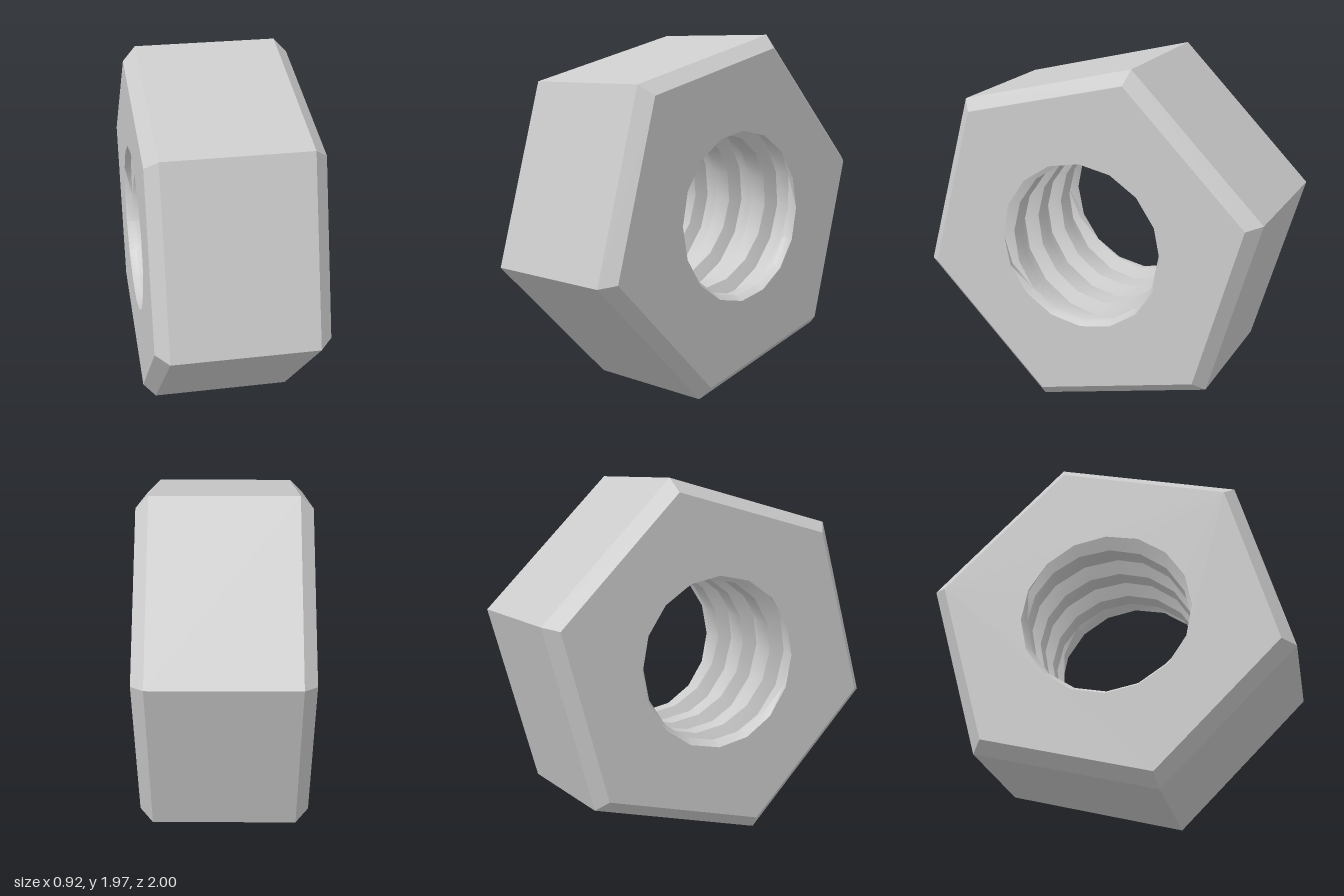
import * as THREE from 'three';
import { toCreasedNormals } from 'three/addons/utils/BufferGeometryUtils.js';

const HALF = 0.46, CHAMFER_X = 0.39, INSET = 0.925, CENTRE_Y = 0.988;
const SEGMENTS = 16, RIM = 0.47, THREAD_X = 0.42, PITCH = 0.28;

// Hexagon corners as [z, y] about the axis; the second half mirrors the first
const half = [[1.0, -0.257], [0.72, 0.733], [-0.27, 0.985]];
const hex = [...half, ...half.map(([z, y]) => [-z, -y])];

// Skin a closed grid of columns (angle) by rows (along x)
function skin(columns, inward, crease) {
  const pos = [];
  const tri = (a, b, c) => {
    const area = new THREE.Triangle(a, b, c).getArea();
    if (area > 1e-7) for (const p of inward ? [a, c, b] : [a, b, c]) pos.push(p.x, p.y, p.z);
  };
  columns.forEach((col, i) => {
    const next = columns[(i + 1) % columns.length];
    for (let j = 0; j < col.length - 1; j++) {
      tri(col[j], col[j + 1], next[j + 1]);
      tri(col[j], next[j + 1], next[j]);
    }
  });
  const geo = new THREE.BufferGeometry();
  geo.setAttribute('position', new THREE.Float32BufferAttribute(pos, 3));
  return toCreasedNormals(geo, crease);
}

// Six flats with a chamfer at both ends
function hexWall() {
  const rows = [[-HALF, INSET], [-CHAMFER_X, 1], [CHAMFER_X, 1], [HALF, INSET]];
  return skin(hex.map(([z, y]) => rows.map(([x, s]) => new THREE.Vector3(x, y * s, z * s))), false, 0.5);
}

// Flat end face with the round opening
function endFace(side) {
  const shape = new THREE.Shape(hex.map(([z, y]) => new THREE.Vector2(-side * z * INSET, y * INSET)));
  const hole = [];
  for (let i = 0; i < SEGMENTS; i++) {
    const a = (i / SEGMENTS) * Math.PI * 2;
    hole.push(new THREE.Vector2(-side * RIM * Math.cos(a), RIM * Math.sin(a)));
  }
  shape.holes.push(new THREE.Path(hole));
  return new THREE.ShapeGeometry(shape).rotateY(side * Math.PI / 2).translate(side * HALF, 0, 0);
}

// Helical thread: profile breakpoints [fraction of pitch, radius] shifted by angle
function threadedBore() {
  const profile = [[0, 0.445], [0.38, 0.445], [0.5, 0.52], [0.88, 0.52], [1, 0.445]];
  const radiusAt = (u) => {
    const f = u - Math.floor(u);
    const k = Math.max(1, profile.findIndex(([t]) => t >= f));
    const [t0, r0] = profile[k - 1], [t1, r1] = profile[k];
    return r0 + (r1 - r0) * (f - t0) / (t1 - t0);
  };
  const columns = [];
  for (let i = 0; i < SEGMENTS; i++) {
    const turn = i / SEGMENTS, a = turn * Math.PI * 2;
    const point = (x, r) => new THREE.Vector3(x, r * Math.sin(a), r * Math.cos(a));
    const col = [point(-HALF, RIM)];
    for (let n = -3; n <= 3; n++) {
      for (const [t] of profile.slice(0, 4)) {
        const x = THREE.MathUtils.clamp((n + t - turn) * PITCH, -THREAD_X, THREAD_X);
        col.push(point(x, radiusAt(x / PITCH + turn + 1e-6)));
      }
    }
    col.push(point(THREAD_X, radiusAt(THREAD_X / PITCH + turn)), point(HALF, RIM));
    columns.push(col);
  }
  // Close the helix: the last column meets the first one a full pitch along
  const seam = columns[0];
  const shifted = seam.map((p, j) => (j > 0 && j < seam.length - 6 ? seam[Math.max(1, j - 4)] : p));
  return { columns, shifted };
}

// The seam needs its own strip, because rows advance by one pitch per turn
function boreGeometry() {
  const { columns } = threadedBore();
  const first = columns[0], last = first.length - 1;
  const end = first.map((p, j) => {
    if (j === 0 || j >= last - 1) return p;
    return j <= 4 ? first[1] : first[j - 4];
  });
  const strips = [];
  columns.forEach((col, i) => {
    const next = i === SEGMENTS - 1 ? end : columns[i + 1];
    for (let j = 0; j < last; j++) {
      strips.push([col[j], next[j + 1], col[j + 1]], [col[j], next[j], next[j + 1]]);
    }
  });
  const pos = strips
    .filter(([a, b, c]) => new THREE.Triangle(a, b, c).getArea() > 1e-7)
    .flatMap((t) => t.flatMap((p) => [p.x, p.y, p.z]));
  const geo = new THREE.BufferGeometry();
  geo.setAttribute('position', new THREE.Float32BufferAttribute(pos, 3));
  return toCreasedNormals(geo, 0.6);
}

export function createModel() {
  const group = new THREE.Group();
  group.name = 'hexNut';
  const material = new THREE.MeshStandardMaterial({ color: 0xcccccc });
  const add = (name, geometry) => {
    const mesh = new THREE.Mesh(geometry, material);
    mesh.name = name;
    mesh.position.y = CENTRE_Y;
    group.add(mesh);
  };
  add('hexWall', hexWall());
  add('leftFace', endFace(1));
  add('rightFace', endFace(-1));
  add('threadedBore', boreGeometry());
  return group;
}
